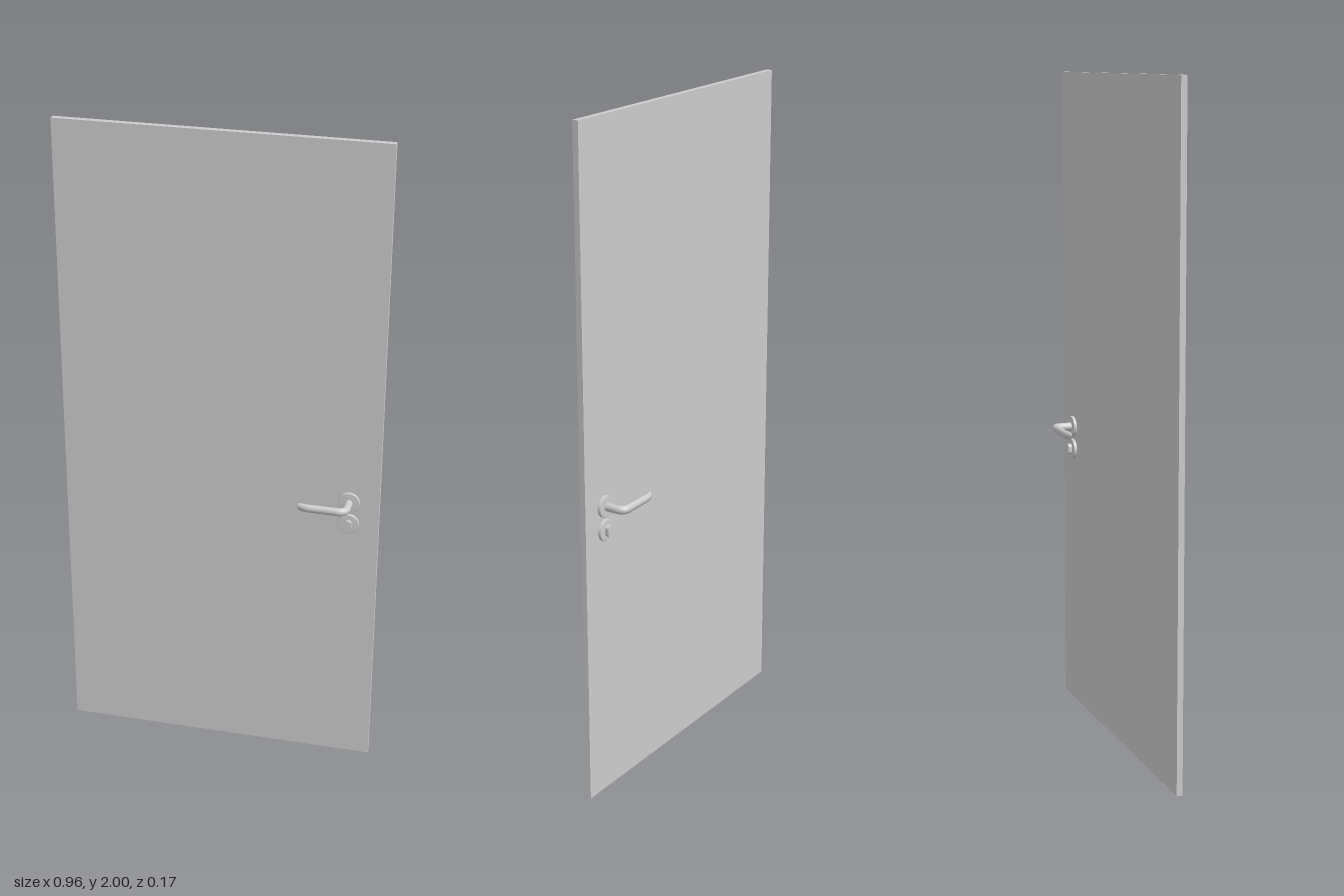
import * as THREE from 'three';

const material = new THREE.MeshStandardMaterial({ color: 0xcccccc });
const LOCK_X = 0.39, LEVER_Y = 0.9, KEY_Y = 0.828;

function add(parent, name, geometry, x = 0, y = 0, z = 0) {
  const mesh = new THREE.Mesh(geometry, material);
  mesh.name = name;
  mesh.position.set(x, y, z);
  parent.add(mesh);
  return mesh;
}

// Round plate with a chamfered rim, rising from the door face along +z
function roseGeometry() {
  const profile = [[0.032, 0.008], [0.032, 0.0165], [0.03, 0.0186], [0, 0.0186]];
  const points = profile.map(([r, h]) => new THREE.Vector2(r, h));
  return new THREE.LatheGeometry(points, 40).rotateX(Math.PI / 2);
}

// Bent lever: a tube whose section goes from round to a flatter oval with a rounded tip
function leverGeometry() {
  const v = (x, z) => new THREE.Vector3(x, 0, z);
  const path = new THREE.CurvePath();
  path.add(new THREE.LineCurve3(v(0, 0.015), v(0, 0.052)));
  path.add(new THREE.QuadraticBezierCurve3(v(0, 0.052), v(0, 0.075), v(-0.025, 0.0755)));
  path.add(new THREE.LineCurve3(v(-0.025, 0.0755), v(-0.105, 0.0745)));
  path.add(new THREE.QuadraticBezierCurve3(v(-0.105, 0.0745), v(-0.13, 0.0745), v(-0.144, 0.065)));
  const steps = 80, sides = 20;
  const geometry = new THREE.TubeGeometry(path, steps, 1, sides, false);
  const pos = geometry.attributes.position;
  for (let i = 0; i <= steps; i++) {
    const u = i / steps, centre = path.getPointAt(u);
    const tip = Math.sqrt(Math.max(0, 1 - Math.max(0, (u - 0.95) / 0.05) ** 2));
    const depth = THREE.MathUtils.lerp(0.0118, 0.0085, THREE.MathUtils.smoothstep(u, 0.15, 0.5))
      * (1 - 0.4 * THREE.MathUtils.smoothstep(u, 0.75, 1)) * tip;
    const height = 0.0125 * tip;
    for (let j = 0; j <= sides; j++) {
      const k = i * (sides + 1) + j;
      pos.setXYZ(k,
        centre.x + (pos.getX(k) - centre.x) * depth,
        pos.getY(k) * height,
        centre.z + (pos.getZ(k) - centre.z) * depth);
    }
  }
  return geometry;
}

// Upright pill-shaped lock cylinder with a narrow key slot
function keyCylinderGeometry() {
  const r = 0.011, h = 0.006;
  const shape = new THREE.Shape();
  shape.absarc(0, h, r, 0, Math.PI);
  shape.absarc(0, -h, r, Math.PI, Math.PI * 2);
  shape.closePath();
  return new THREE.ExtrudeGeometry(shape, { depth: 0.014, bevelEnabled: false, curveSegments: 16 });
}

function createFurniture(name) {
  const side = new THREE.Group();
  side.name = name;
  add(side, 'leverRose', roseGeometry(), 0, LEVER_Y);
  add(side, 'lever', leverGeometry(), 0, LEVER_Y);
  add(side, 'keyRose', roseGeometry(), 0, KEY_Y);
  add(side, 'keyCylinder', keyCylinderGeometry(), 0, KEY_Y, 0.016);
  return side;
}

// Mirrors a geometry through z = 0 and flips its winding
function mirrorZ(geometry) {
  geometry.scale(1, 1, -1);
  if (!geometry.index) {
    geometry.setIndex([...Array(geometry.attributes.position.count).keys()]);
  }
  const index = geometry.index;
  for (let i = 0; i < index.count; i += 3) {
    const a = index.getX(i);
    index.setX(i, index.getX(i + 1));
    index.setX(i + 1, a);
  }
}

export function createModel() {
  const door = new THREE.Group();
  door.name = 'door';
  add(door, 'doorLeaf', new THREE.BoxGeometry(0.958, 2, 0.018), 0, 1, 0);

  const front = createFurniture('frontHandleSet');
  const back = createFurniture('backHandleSet');
  back.children.forEach((part) => {
    mirrorZ(part.geometry);
    part.position.z *= -1;
  });
  for (const side of [front, back]) {
    side.position.x = LOCK_X;
    door.add(side);
  }
  return door;
}
